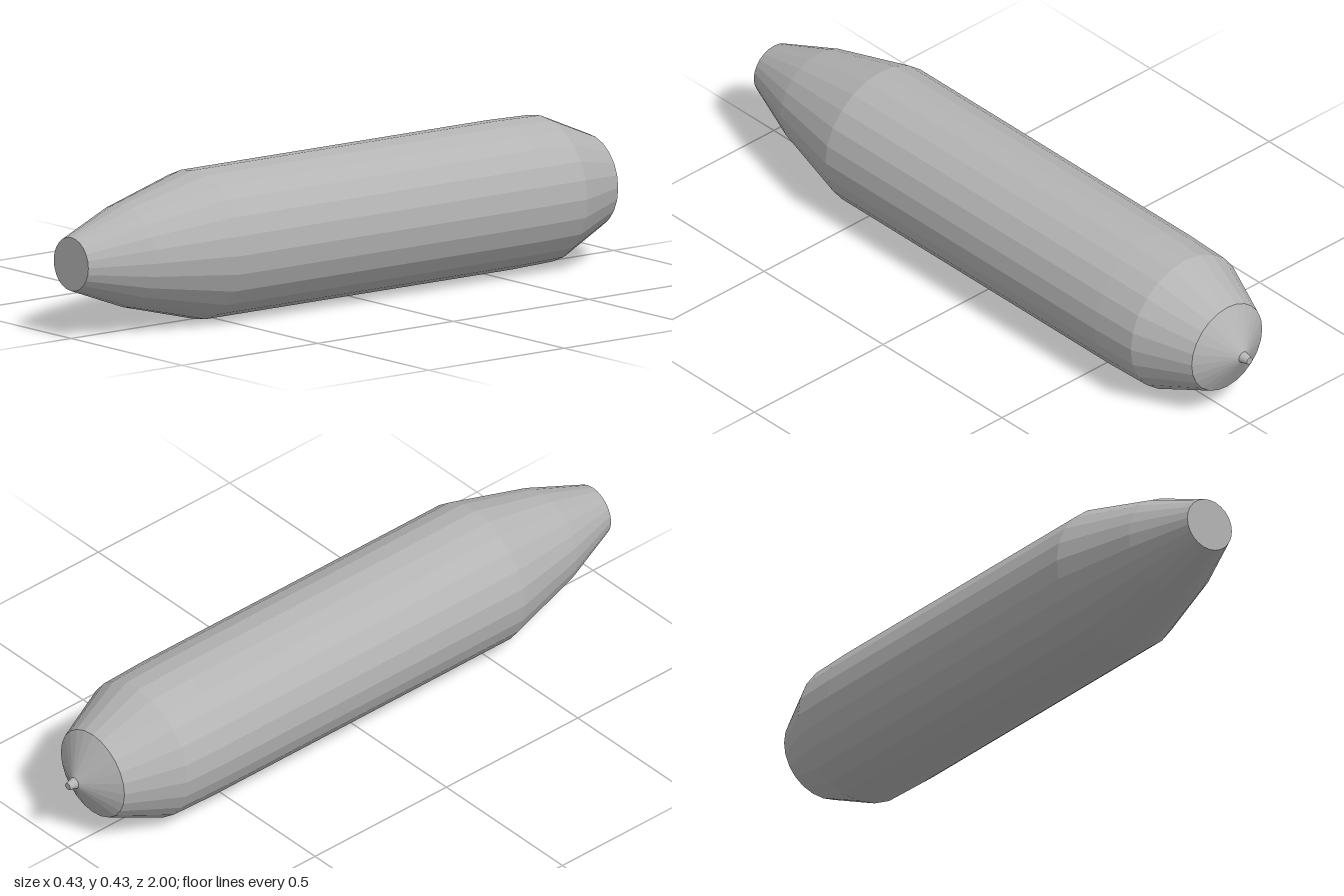
import * as THREE from 'three';

const SIDES = 24;
const RADIUS = 0.216;

export function createModel() {
  const group = new THREE.Group();
  const grey = new THREE.MeshStandardMaterial({ color: 0xb4b4b4, flatShading: true });
  grey.name = 'grey';

  function add(name, geometry) {
    const flat = geometry.toNonIndexed();
    flat.computeVertexNormals();
    const mesh = new THREE.Mesh(flat, grey);
    mesh.name = name;
    mesh.position.y = RADIUS;
    group.add(mesh);
  }

  // Faceted shell turned about z from [z, radius] pairs, listed back to front
  function turned(name, profile) {
    const points = profile.map(([z, r]) => new THREE.Vector2(r, z));
    add(name, new THREE.LatheGeometry(points, SIDES).rotateX(Math.PI / 2));
  }

  // Main tube and its tapers
  turned('nose', [[0.55, RADIUS], [0.81, 0.149], [1, 0.078]]);
  turned('tube', [[-0.58, RADIUS], [0.55, RADIUS]]);
  turned('rearTaper', [[-0.905, 0.137], [-0.73, 0.212], [-0.58, RADIUS]]);

  // Shallow rear cone and small tail fitting
  turned('rearCone', [[-0.975, 0.014], [-0.905, 0.137]]);
  turned('tailFitting', [[-1, 0.011], [-0.965, 0.019]]);

  // Flat end caps
  add('noseCap', new THREE.CircleGeometry(0.078, SIDES).translate(0, 0, 1));
  add('tailCap', new THREE.CircleGeometry(0.011, SIDES).rotateY(Math.PI).translate(0, 0, -1));

  return group;
}
